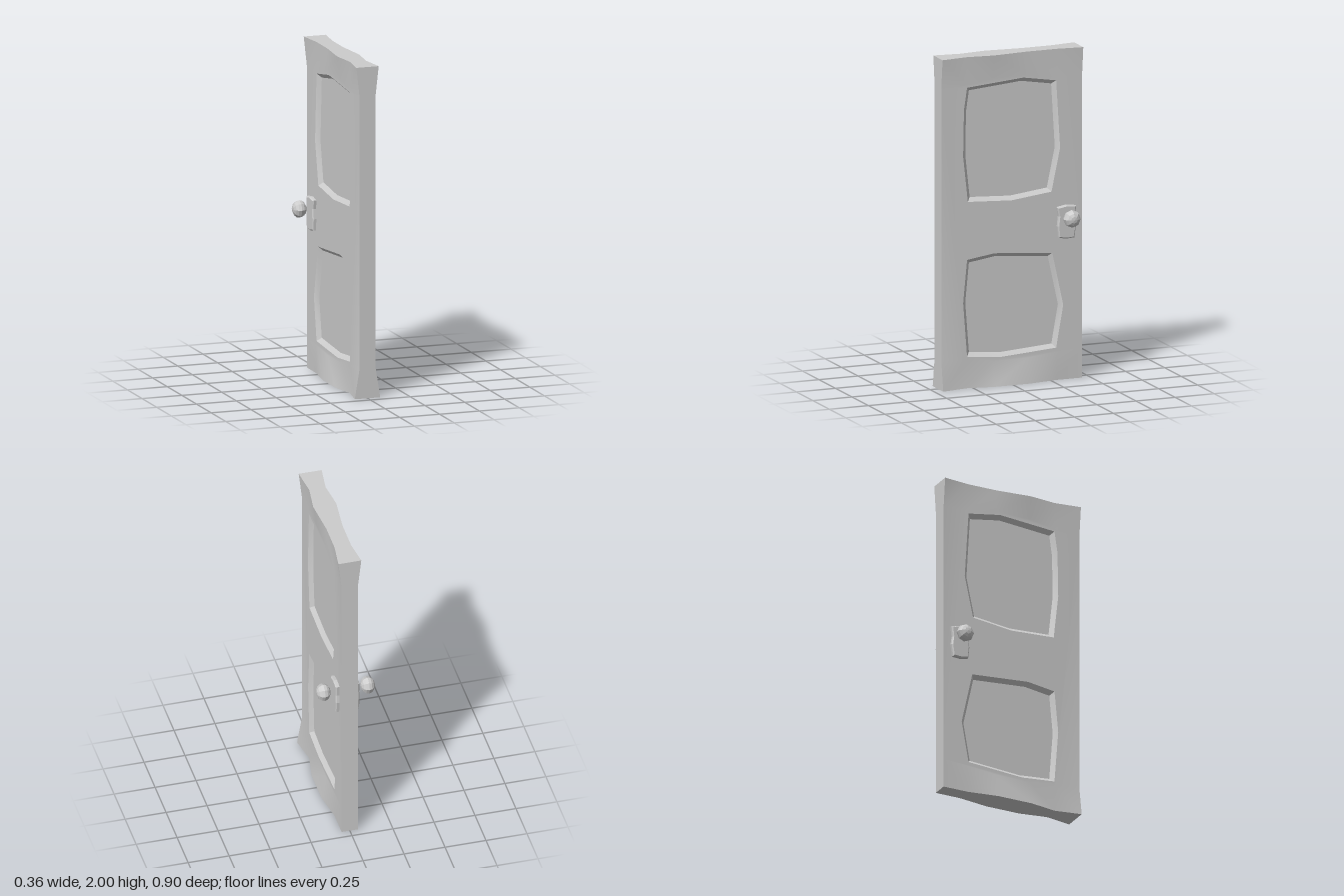
import * as THREE from 'three';
import { toCreasedNormals } from 'three/addons/utils/BufferGeometryUtils.js';

const FACE = 0.05;      // half thickness of the slab
const RECESS = 0.025;   // depth of the panels

// Wavy flare stations: [z, half thickness at top, at bottom, y where top flare starts, where bottom flare ends]
const STATIONS = [
  [-0.45, 0.07, 0.05, 1.82, 0.18],
  [-0.29, 0.05, 0.05, 1.83, 0.17],
  [-0.1, 0.05, 0.08, 1.86, 0.15],
  [0.12, 0.07, 0.08, 1.86, 0.15],
  [0.285, 0.05, 0.05, 1.83, 0.17],
  [0.45, 0.07, 0.08, 1.82, 0.18],
];

// Crooked panel outlines as [z, y]
const PANELS = [
  [[0.285, 1.815], [-0.075, 1.845], [-0.285, 1.81], [-0.31, 1.4], [-0.255, 1.14],
    [0.0, 1.11], [0.28, 1.125], [0.31, 1.4], [0.305, 1.68]],
  [[0.285, 0.775], [0.11, 0.8], [-0.26, 0.77], [-0.33, 0.45], [-0.285, 0.195],
    [0.07, 0.17], [0.285, 0.19], [0.31, 0.515]],
];

// Same outline moved inwards by roughly d
function inset(outline, d) {
  const box = new THREE.Box2().setFromPoints(outline);
  const c = box.getCenter(new THREE.Vector2());
  const half = box.getSize(new THREE.Vector2()).multiplyScalar(0.5);
  return outline.map((p) => new THREE.Vector2(
    c.x + (p.x - c.x) * (1 - d / half.x), c.y + (p.y - c.y) * (1 - d / half.y)));
}

function slabGeometry() {
  const pos = [];
  const V = (x, y, z) => new THREE.Vector3(x, y, z);
  // Triangle wound so that it faces along dir
  const tri = (a, b, c, dir) => {
    const n = b.clone().sub(a).cross(c.clone().sub(a));
    for (const p of n.dot(dir) < 0 ? [a, c, b] : [a, b, c]) pos.push(p.x, p.y, p.z);
  };
  const quad = (a, b, c, d, dir) => { tri(a, b, c, dir); tri(a, c, d, dir); };
  const fill = (contour, holes, x, dir) => {
    const all = [contour, ...holes].flat();
    for (const f of THREE.ShapeUtils.triangulateShape(contour, holes)) {
      tri(...f.map((i) => V(x, all[i].y, all[i].x)), dir);
    }
  };

  const border = [
    ...STATIONS.map((s) => new THREE.Vector2(s[0], s[4])),
    ...[...STATIONS].reverse().map((s) => new THREE.Vector2(s[0], s[3])),
  ];
  const outlines = PANELS.map((p) => p.map(([z, y]) => new THREE.Vector2(z, y)));

  for (const side of [1, -1]) {
    const dir = V(side, 0, 0);
    // Flat face with panel openings
    fill(border, outlines, side * FACE, dir);
    // Sloped panel rims and sunken floors
    for (const o of outlines) {
      const inner = inset(o, 0.024);
      const xi = side * (FACE - RECESS);
      fill(inner, [], xi, dir);
      o.forEach((p, i) => {
        const j = (i + 1) % o.length;
        quad(V(side * FACE, p.y, p.x), V(side * FACE, o[j].y, o[j].x),
          V(xi, inner[j].y, inner[j].x), V(xi, inner[i].y, inner[i].x), dir);
      });
    }
    // Flared top and bottom
    for (let i = 0; i < STATIONS.length - 1; i++) {
      const [a, b] = [STATIONS[i], STATIONS[i + 1]];
      quad(V(side * FACE, a[3], a[0]), V(side * FACE, b[3], b[0]),
        V(side * b[1], 2, b[0]), V(side * a[1], 2, a[0]), dir);
      quad(V(side * FACE, a[4], a[0]), V(side * FACE, b[4], b[0]),
        V(side * b[2], 0, b[0]), V(side * a[2], 0, a[0]), dir);
    }
  }

  // Top and bottom edges
  for (let i = 0; i < STATIONS.length - 1; i++) {
    const [a, b] = [STATIONS[i], STATIONS[i + 1]];
    for (const [k, y, up] of [[1, 2, 1], [2, 0, -1]]) {
      quad(V(a[k], y, a[0]), V(-a[k], y, a[0]), V(-b[k], y, b[0]), V(b[k], y, b[0]), V(0, up, 0));
    }
  }
  // Hinge and latch edges
  for (const s of [STATIONS[0], STATIONS[STATIONS.length - 1]]) {
    const rows = [[s[2], 0], [FACE, s[4]], [FACE, s[3]], [s[1], 2]];
    for (let i = 0; i < 3; i++) {
      const [[w0, y0], [w1, y1]] = [rows[i], rows[i + 1]];
      quad(V(w0, y0, s[0]), V(-w0, y0, s[0]), V(-w1, y1, s[0]), V(w1, y1, s[0]), V(0, 0, s[0]));
    }
  }

  const g = new THREE.BufferGeometry();
  g.setAttribute('position', new THREE.Float32BufferAttribute(pos, 3));
  return toCreasedNormals(g, Math.PI / 7);
}

// Crooked lock plate lying on the face of the given side
function plateGeometry(side) {
  const outline = [[-0.29, 1.04], [-0.345, 1.05], [-0.4, 1.043], [-0.393, 0.98], [-0.4, 0.93],
    [-0.39, 0.86], [-0.34, 0.857], [-0.3, 0.865], [-0.293, 0.93], [-0.3, 0.99]];
  const shape = new THREE.Shape(outline.map(([z, y]) => new THREE.Vector2(-side * z, y)));
  const g = new THREE.ExtrudeGeometry(shape, {
    depth: 0.023, bevelEnabled: true, bevelThickness: 0.007, bevelSize: 0.007,
    bevelOffset: -0.002, bevelSegments: 1,
  });
  return g.translate(0, 0, 0.043).rotateY(side * Math.PI / 2);
}

export function createModel() {
  const model = new THREE.Group();
  model.name = 'door';
  const smooth = new THREE.MeshStandardMaterial({ color: 0xcccccc });
  const faceted = new THREE.MeshStandardMaterial({ color: 0xcccccc, flatShading: true });
  const add = (name, geometry, material) => {
    const mesh = new THREE.Mesh(geometry, material);
    mesh.name = name;
    model.add(mesh);
    return mesh;
  };

  add('doorSlab', slabGeometry(), smooth);

  for (const side of [1, -1]) {
    const label = side > 0 ? 'left' : 'right';
    add(label + 'LockPlate', plateGeometry(side), faceted);
    // Knob: squashed ball with its pole pointing outwards
    const knob = new THREE.SphereGeometry(0.053, 8, 8).rotateZ(-side * Math.PI / 2).scale(0.81, 1, 1);
    add(label + 'Knob', knob, faceted).position.set(side * 0.135, 0.985, -0.35);
  }
  return model;
}
